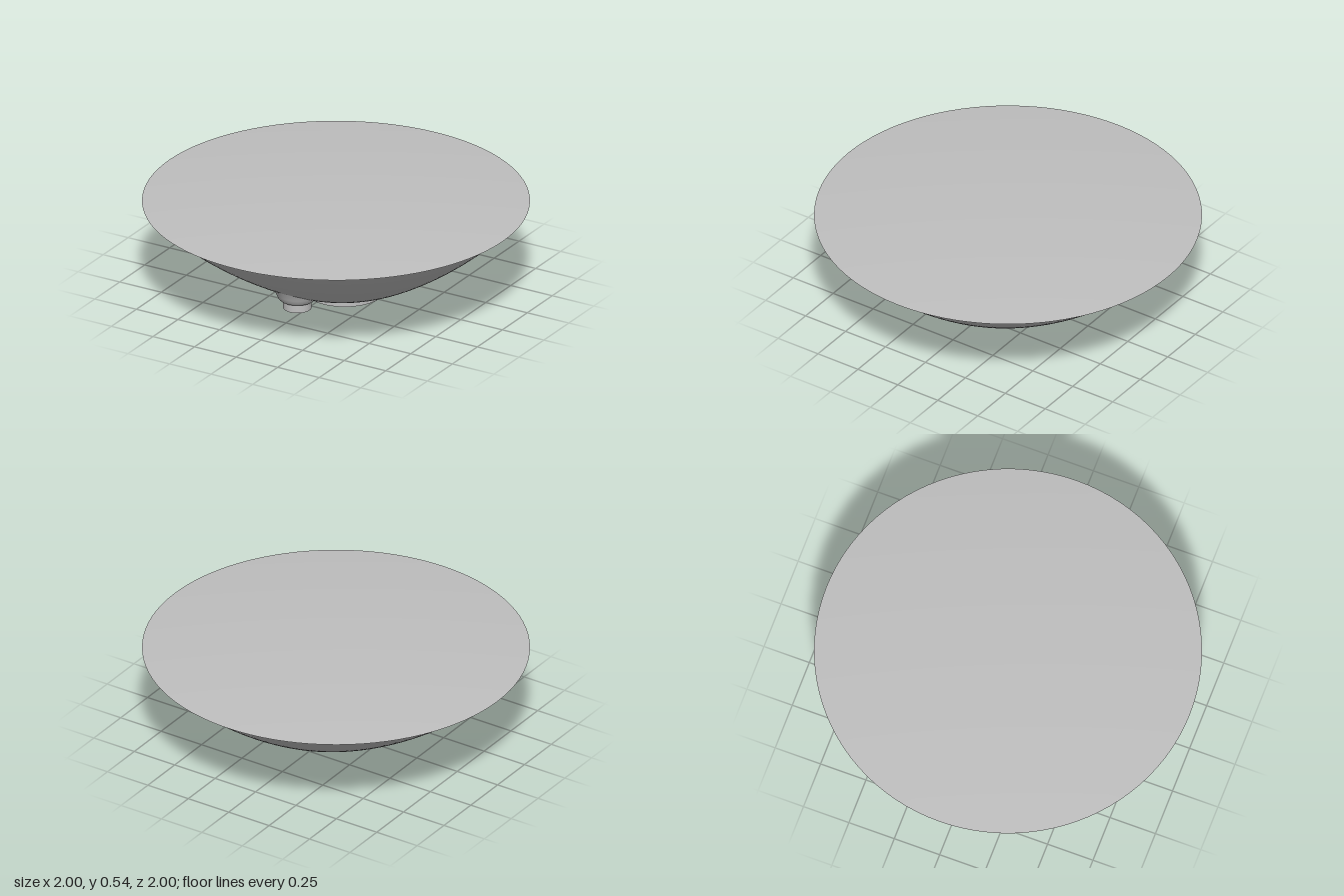
import * as THREE from 'three';

export function createModel() {
  const model = new THREE.Group();
  const grey = new THREE.MeshStandardMaterial({ color: 0xbfbfbf, side: THREE.DoubleSide });
  grey.name = 'pale grey';

  const add = (name, geometry, x = 0, y = 0, z = 0) => {
    const mesh = new THREE.Mesh(geometry, grey);
    mesh.name = name;
    mesh.position.set(x, y, z);
    model.add(mesh);
    return mesh;
  };
  const lathe = (points, segments = 96) =>
    new THREE.LatheGeometry(points.map(([r, y]) => new THREE.Vector2(r, y)), segments);

  // Shallow dish, its bottom slid sideways to meet the off-centre foot
  const curve = new THREE.SplineCurve([
    [0.205, 0.05], [0.25, 0.055], [0.32, 0.076], [0.4, 0.108], [0.5, 0.157],
    [0.6, 0.214], [0.7, 0.278], [0.8, 0.35], [0.9, 0.431], [0.975, 0.498],
  ].map(([r, y]) => new THREE.Vector2(r, y)));
  const dish = new THREE.LatheGeometry(curve.getPoints(36), 96);
  const p = dish.attributes.position;
  for (let i = 0; i < p.count; i++) {
    const r = Math.hypot(p.getX(i), p.getZ(i));
    p.setX(i, p.getX(i) + 0.05 * (0.975 - r) / 0.77);
  }
  dish.computeVertexNormals();
  // Match the normals where the lathe closes on itself
  const n = dish.attributes.normal;
  const rows = 37;
  for (let i = 0; i < rows; i++) {
    const j = n.count - rows + i;
    const v = new THREE.Vector3().fromBufferAttribute(n, i)
      .add(new THREE.Vector3().fromBufferAttribute(n, j)).normalize();
    n.setXYZ(i, v.x, v.y, v.z);
    n.setXYZ(j, v.x, v.y, v.z);
  }
  add('dish', dish);

  // Narrow lip under the rim and the gently domed top
  add('rimLip', lathe([[0.975, 0.498], [1, 0.498]]));
  const dome = [];
  for (let i = 0; i <= 20; i++) {
    const r = 1 - i / 20;
    dome.push([r, 0.5 + 0.037 * (1 - r * r)]);
  }
  add('domedTop', lathe(dome));

  // Open collars with a recessed floor
  const collar = (name, radius, bottom, top, x, z) => {
    add(name + 'Wall', lathe([[radius, bottom], [radius, top]], 64), x, 0, z);
    const floor = new THREE.CircleGeometry(radius, 64);
    floor.rotateX(Math.PI / 2);
    add(name + 'Floor', floor, x, name === 'foot' ? top : 0.1, z);
  };
  collar('foot', 0.205, 0, 0.05, 0.05, -0.004);
  collar('outlet', 0.073, 0.075, 0.125, 0.035, 0.445);

  // Rounded boss blending the outlet into the dish
  add('outletBoss', lathe([
    [0.073, 0.119], [0.09, 0.125], [0.102, 0.139], [0.11, 0.158],
    [0.12, 0.182], [0.135, 0.21],
  ], 64), 0.035, 0, 0.445);

  return model;
}
